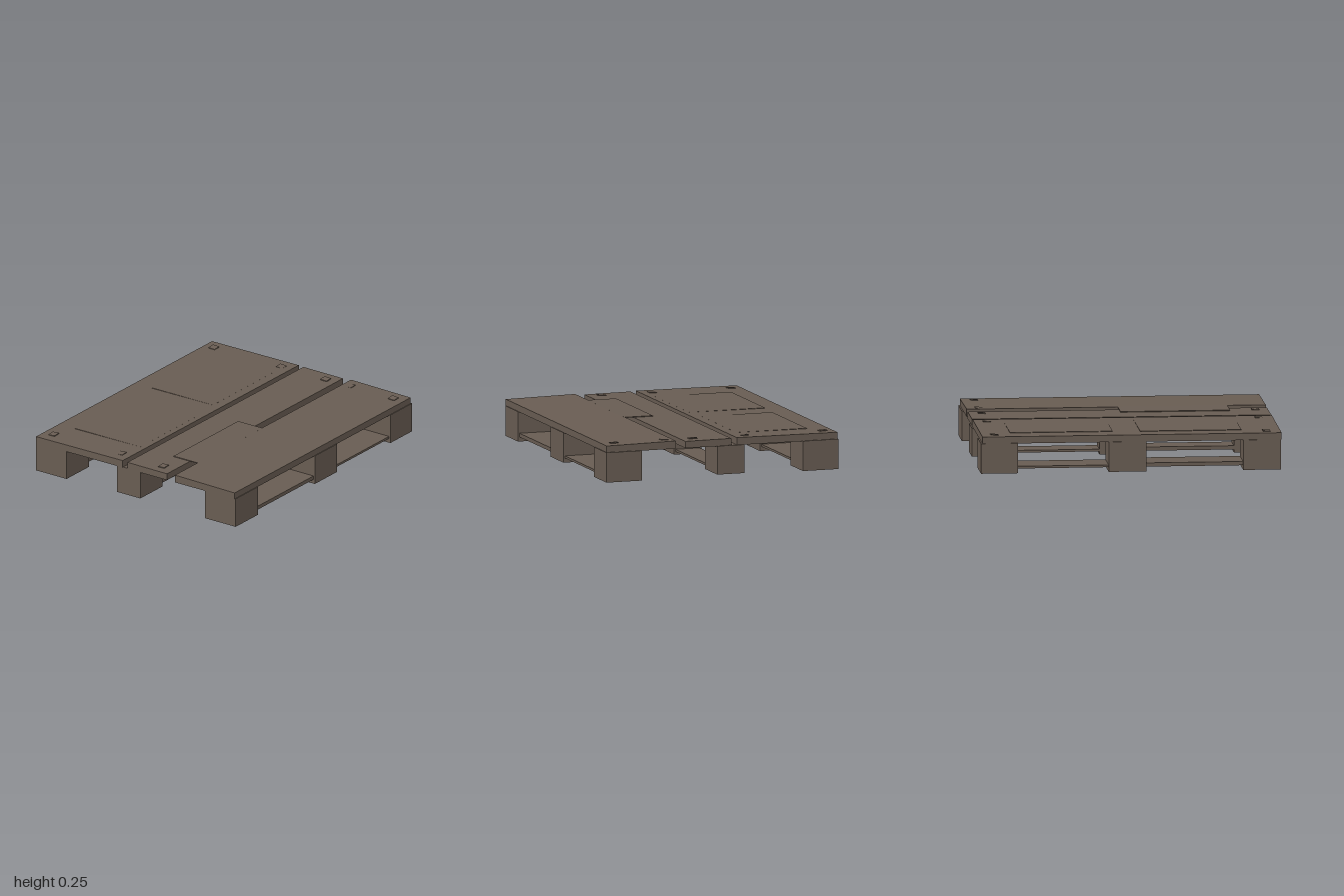
import * as THREE from 'three';

export function createModel() {
  const group = new THREE.Group();
  const wood = new THREE.MeshStandardMaterial({ color: 0x685c52 });
  wood.name = 'weatheredWood';

  // box given by its limits on each axis
  function box(name, x0, x1, y0, y1, z0, z1) {
    const mesh = new THREE.Mesh(new THREE.BoxGeometry(x1 - x0, y1 - y0, z1 - z0), wood);
    mesh.position.set((x0 + x1) / 2, (y0 + y1) / 2, (z0 + z1) / 2);
    mesh.name = name;
    group.add(mesh);
    return mesh;
  }

  // deck board whose top height differs slightly from its back to its front edge
  function deckBoard(name, z0, z1, backTop, frontTop) {
    const geometry = new THREE.BoxGeometry(1.98, 1, z1 - z0);
    const p = geometry.attributes.position;
    for (let i = 0; i < p.count; i++) {
      const top = p.getZ(i) > 0 ? frontTop : backTop;
      p.setY(i, p.getY(i) > 0 ? top : 0.198);
    }
    geometry.computeVertexNormals();
    const mesh = new THREE.Mesh(geometry, wood);
    mesh.position.set(-0.005, 0, (z0 + z1) / 2);
    mesh.name = name;
    group.add(mesh);
  }

  // three deck boards with gaps between them
  deckBoard('backDeckBoard', -0.805, -0.1, 0.244, 0.248);
  deckBoard('middleDeckBoard', -0.062, 0.26, 0.245, 0.243);
  deckBoard('frontDeckBoard', 0.325, 0.81, 0.25, 0.243);

  // thin splinter sheet bridging the gap between front and middle boards
  box('frontBoardTab', -0.74, -0.015, 0.245, 0.25, 0.13, 0.33);

  // shallow panels on the back board
  box('rightPanel', -0.74, -0.07, 0.244, 0.248, -0.675, -0.14);
  box('leftPanel', 0.11, 0.79, 0.244, 0.248, -0.66, -0.165);

  // three rows of three blocks
  const columns = [[-0.99, -0.74], [-0.1, 0.15], [0.75, 0.995]];
  const rows = [['front', 0.565, 0.815, 0], ['middle', -0.15, 0.04, 0.01], ['back', -0.81, -0.56, 0]];
  for (const [row, z0, z1, y0] of rows) {
    columns.forEach(([x0, x1], i) => {
      box(`${row}Block${i + 1}`, x0, x1, y0, 0.2, z0, z1);
    });
    // thin bottom boards between the blocks
    for (let i = 0; i < 2; i++) {
      box(`${row}BottomBoard${i + 1}`, columns[i][1], columns[i + 1][0],
        0.03, i === 0 ? 0.055 : 0.045, z0 + 0.01, z1 - 0.01);
    }
  }

  // small raised chips at the nail positions
  const chips = [
    [-0.9, -0.73], [0.9, -0.73], [-0.9, -0.18], [0.9, -0.18],
    [-0.91, 0.17], [0.9, 0.18], [0.9, 0.38], [0.9, 0.73],
  ];
  chips.forEach(([x, z], i) => {
    const chip = box(`nailChip${i + 1}`, x - 0.025, x + 0.025, 0.245, 0.251, z - 0.025, z + 0.025);
    chip.rotation.set(0.06 * (i % 2 ? 1 : -1), 0, 0.08);
  });

  return group;
}
